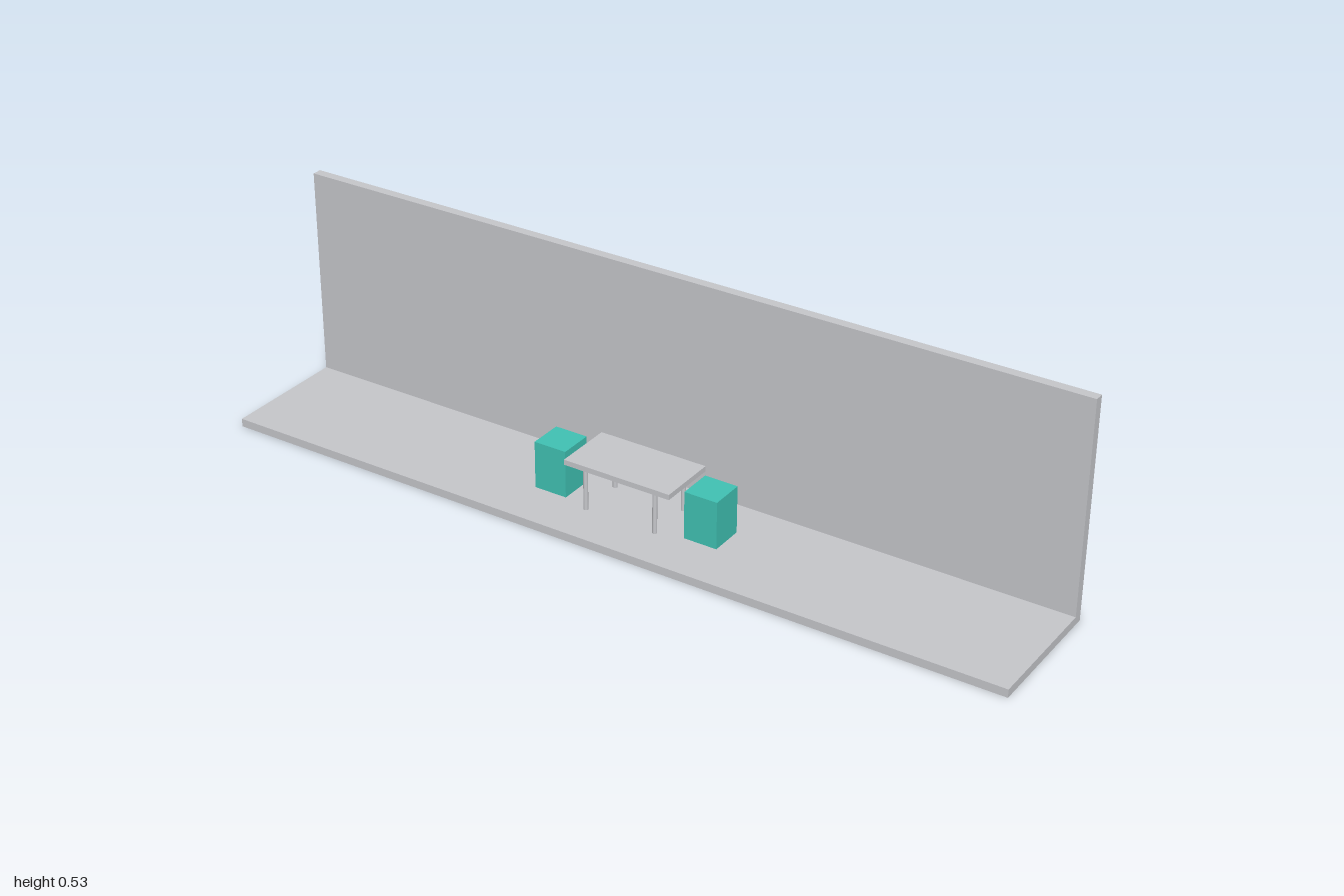
import * as THREE from 'three';

export function createModel() {
  const model = new THREE.Group();
  const grey = new THREE.MeshStandardMaterial({ color: 0xc5c6ca });
  grey.name = 'light grey';
  const teal = new THREE.MeshStandardMaterial({ color: 0x40c1b3 });
  teal.name = 'teal';

  const add = (name, geometry, material, x, y, z, parent = model) => {
    const mesh = new THREE.Mesh(geometry, material);
    mesh.name = name;
    mesh.position.set(x, y, z);
    parent.add(mesh);
    return mesh;
  };

  const floorTop = 0.02;

  // Floor slab, and the wall standing along its back edge
  add('floor', new THREE.BoxGeometry(2, floorTop, 0.334), grey, 0, floorTop / 2, 0);
  add('backWall', new THREE.BoxGeometry(2, 0.535 - floorTop, 0.023), grey, 0, (0.535 + floorTop) / 2, -0.1555);

  // Table: thin top on four round legs
  const table = new THREE.Group();
  table.name = 'table';
  table.position.set(-0.001, floorTop, 0);
  model.add(table);
  add('tableTop', new THREE.BoxGeometry(0.275, 0.013, 0.148), grey, 0, 0.1125, 0, table);
  const legHeight = 0.106;
  const legGeometry = new THREE.CylinderGeometry(0.0055, 0.0055, legHeight, 24);
  for (const x of [-0.091, 0.091]) {
    for (const z of [-0.058, 0.058]) {
      add('tableLeg', legGeometry, grey, x, legHeight / 2, z, table);
    }
  }

  // Block stools at both ends of the table
  const stoolHeight = 0.117;
  const stoolGeometry = new THREE.BoxGeometry(0.083, stoolHeight, 0.084);
  add('rightStool', stoolGeometry, teal, -0.199, floorTop + stoolHeight / 2, 0);
  add('leftStool', stoolGeometry, teal, 0.197, floorTop + stoolHeight / 2, 0);

  return model;
}
